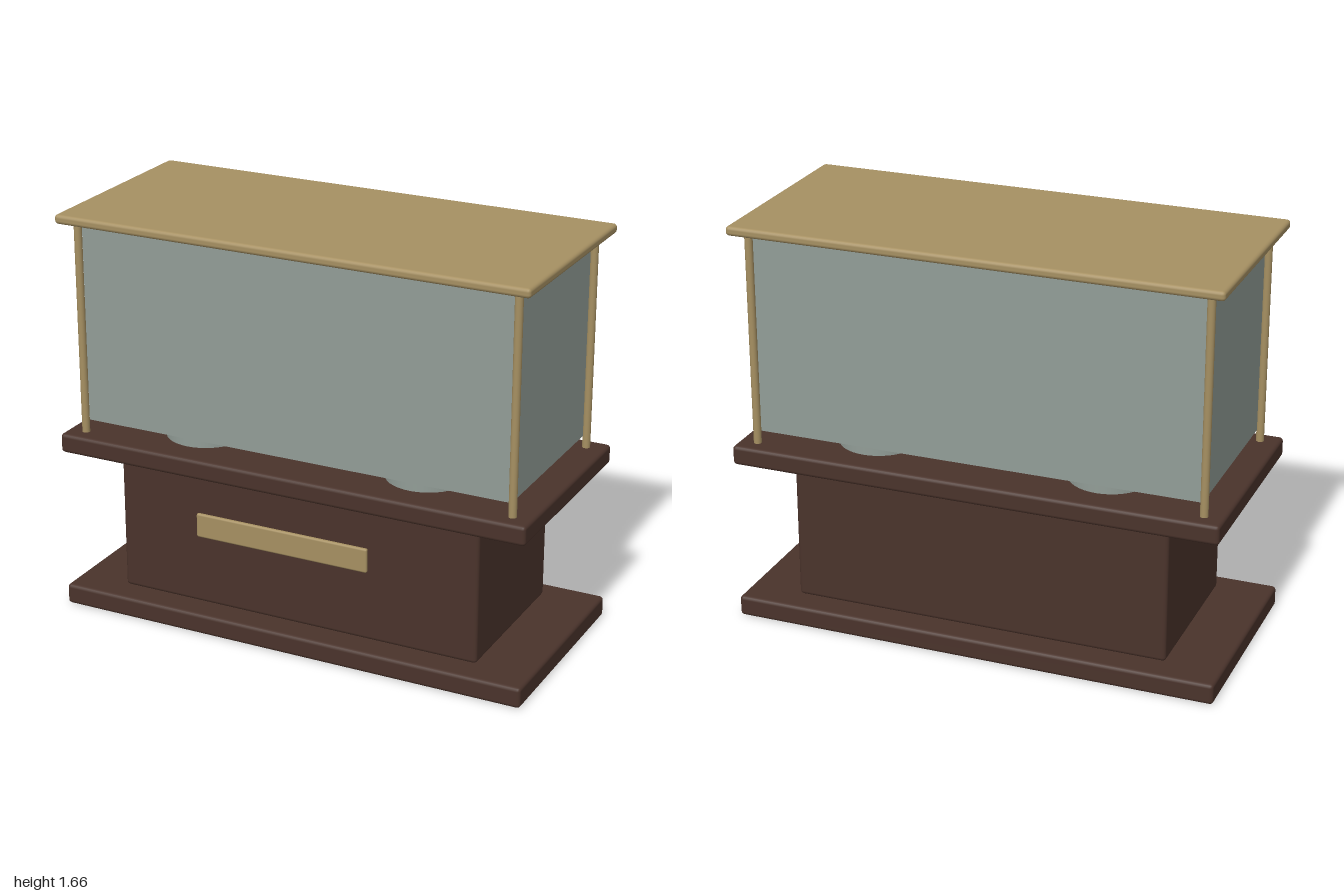
import * as THREE from 'three';
import { RoundedBoxGeometry } from 'three/addons/geometries/RoundedBoxGeometry.js';

const material = (name, color) => {
  const m = new THREE.MeshStandardMaterial({ color });
  m.name = name;
  return m;
};

export function createModel() {
  const wood = material('dark wood', 0x4a332b);
  const brass = material('brass', 0xa69062);
  const glass = material('grey glass', 0x929d97);
  const midZ = -0.0085; // the case sits slightly behind centre, as the plaque projects in front

  const model = new THREE.Group();
  model.name = 'displayCase';

  function add(name, geometry, mat, x, y, z) {
    const mesh = new THREE.Mesh(geometry, mat);
    mesh.name = name;
    mesh.position.set(x, y, z);
    model.add(mesh);
  }

  // Softened box standing between two heights
  function slab(name, mat, width, y0, y1, depth, radius) {
    add(name, new RoundedBoxGeometry(width, y1 - y0, depth, 2, radius), mat, 0, (y0 + y1) / 2, midZ);
  }

  // Wooden pedestal
  slab('base', wood, 2, 0, 0.085, 0.886, 0.015);
  slab('pedestal', wood, 1.555, 0.09, 0.665, 0.686, 0.015);
  slab('tableTop', wood, 2, 0.67, 0.75, 0.886, 0.015);

  // Brass lid
  slab('lid', brass, 1.975, 1.622, 1.66, 0.874, 0.014);

  // Glass enclosure
  add('glassCase', new THREE.BoxGeometry(1.82, 0.81, 0.722), glass, 0, 1.203, midZ);

  // Corner posts and the round stands under the glass
  const post = new THREE.CylinderGeometry(0.016, 0.016, 0.88, 16);
  const stand = new THREE.CylinderGeometry(0.164, 0.164, 0.07, 40);
  for (const sx of [-1, 1]) {
    for (const sz of [-1, 1]) {
      add('cornerPost', post, brass, sx * 0.921, 1.185, midZ + sz * 0.373);
      add('roundStand', stand, glass, sx * 0.482, 0.78, midZ + sz * 0.165);
    }
  }

  // Plaque standing clear of the pedestal's front
  add('plaque', new RoundedBoxGeometry(0.74, 0.1, 0.018, 2, 0.008), brass, -0.002, 0.486, 0.444);

  return model;
}
